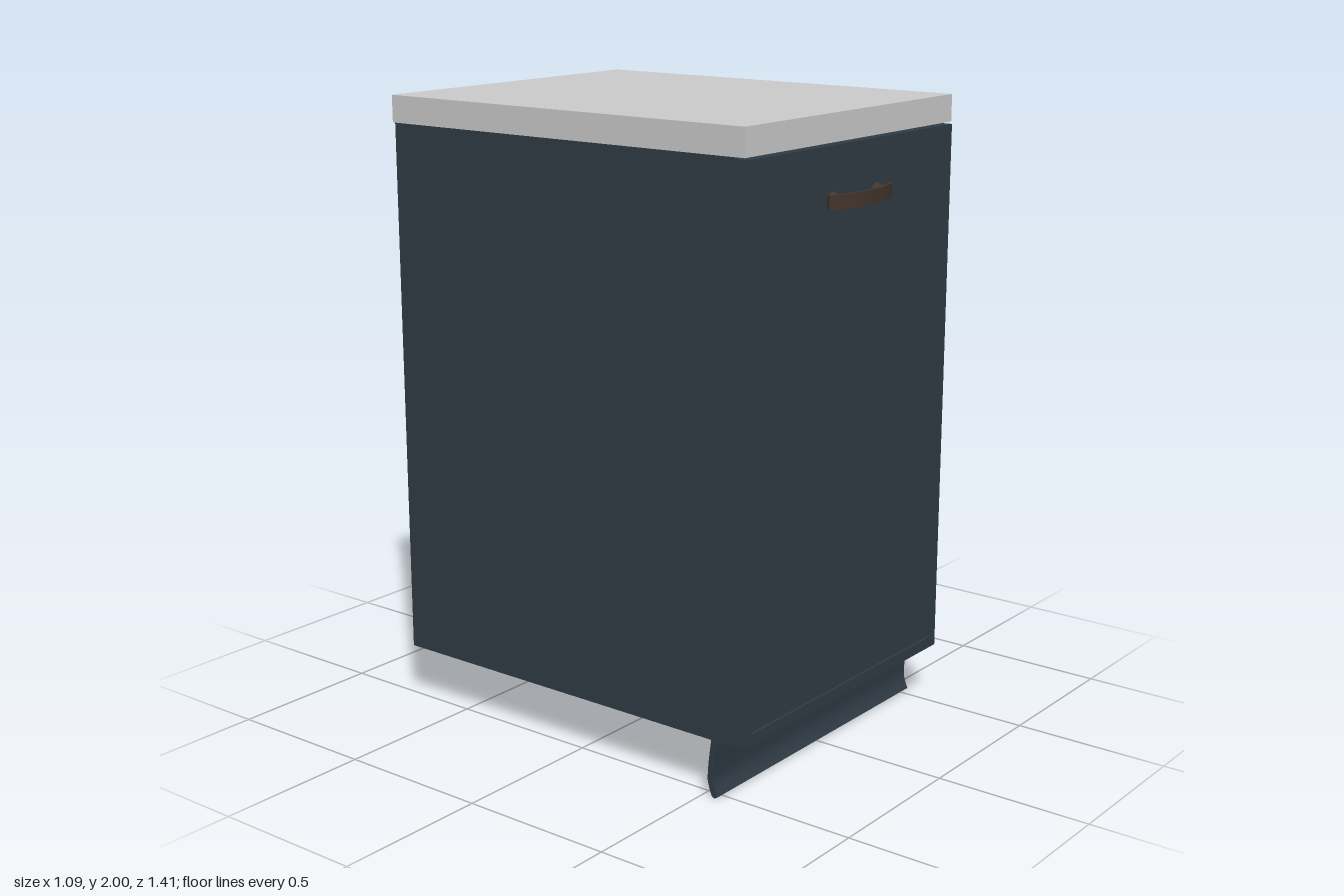
import * as THREE from 'three';

const navy = new THREE.MeshStandardMaterial({ color: 0x303b45 });
const bronze = new THREE.MeshStandardMaterial({ color: 0x44352d });
const grey = new THREE.MeshStandardMaterial({ color: 0xcccccc });

function add(parent, name, geometry, material, x = 0, y = 0, z = 0) {
  const mesh = new THREE.Mesh(geometry, material);
  mesh.name = name;
  mesh.position.set(x, y, z);
  parent.add(mesh);
  return mesh;
}

// Box given by its lower and upper corners
function box(parent, name, material, [x0, y0, z0], [x1, y1, z1]) {
  return add(parent, name, new THREE.BoxGeometry(x1 - x0, y1 - y0, z1 - z0), material,
    (x0 + x1) / 2, (y0 + y1) / 2, (z0 + z1) / 2);
}

function rectangle(PathType, w, h) {
  const p = new PathType();
  p.moveTo(-w / 2, -h / 2);
  p.lineTo(w / 2, -h / 2);
  p.lineTo(w / 2, h / 2);
  p.lineTo(-w / 2, h / 2);
  p.closePath();
  return p;
}

// Door: a raised rim around a slightly recessed panel
function makeDoor() {
  const door = new THREE.Group();
  door.name = 'door';
  const w = 1.066, h = 1.722, border = 0.036, depth = 0.05, recess = 0.008;
  const rim = rectangle(THREE.Shape, w, h);
  rim.holes.push(rectangle(THREE.Path, w - 2 * border, h - 2 * border));
  add(door, 'doorRim', new THREE.ExtrudeGeometry(rim, { depth, bevelEnabled: false }), navy);
  box(door, 'doorPanel', navy,
    [-w / 2 + border, -h / 2 + border, 0], [w / 2 - border, h / 2 - border, depth - recess]);
  door.position.set(0, 1.048, 0.604);
  return door;
}

// Bow handle on two tapered posts
function makeHandle() {
  const handle = new THREE.Group();
  handle.name = 'handle';
  const half = 0.168, sag = 0.034, thick = 0.012, height = 0.043;
  const radius = (half * half + sag * sag) / (2 * sag);
  const angle = Math.asin(half / radius);
  const arc = new THREE.Shape();
  arc.absarc(0, 0, radius, -Math.PI / 2 - angle, -Math.PI / 2 + angle, false);
  arc.absarc(0, 0, radius - thick, -Math.PI / 2 + angle, -Math.PI / 2 - angle, true);
  arc.closePath();
  const geometry = new THREE.ExtrudeGeometry(arc, { depth: height, bevelEnabled: false, curveSegments: 24 });
  geometry.rotateX(-Math.PI / 2);
  add(handle, 'grip', geometry, bronze, 0, -height / 2, 0.705 - radius);
  for (const side of [-1, 1]) {
    const post = new THREE.CylinderGeometry(0.012, 0.026, 0.036, 20).rotateX(Math.PI / 2);
    add(handle, 'handlePost', post, bronze, side * 0.115, 0, 0.666);
  }
  handle.position.y = 1.749;
  return handle;
}

// Toe kick: a thin curved profile swept across the width
function makePlinth(parent) {
  const width = 1.066;
  const front = [[0.553, 0.19], [0.547, 0.14], [0.541, 0.09], [0.54, 0.055], [0.546, 0.03], [0.556, 0.006]];
  const back = [[0.545, 0], [0.534, 0.008], [0.522, 0.045], [0.52, 0.065], [0.523, 0.11], [0.533, 0.19]];
  const shape = new THREE.Shape();
  shape.moveTo(-front[0][0], front[0][1]);
  shape.splineThru(front.slice(1).map(([z, y]) => new THREE.Vector2(-z, y)));
  shape.lineTo(-back[0][0], back[0][1]);
  shape.splineThru(back.slice(1).map(([z, y]) => new THREE.Vector2(-z, y)));
  shape.closePath();
  const geometry = new THREE.ExtrudeGeometry(shape, { depth: width, bevelEnabled: false, curveSegments: 3 });
  geometry.rotateY(Math.PI / 2);
  add(parent, 'plinth', geometry, navy, -width / 2);
}

export function createModel() {
  const model = new THREE.Group();
  model.name = 'baseCabinet';
  box(model, 'carcass', navy, [-0.533, 0.185, -0.705], [0.533, 1.915, 0.6]);
  box(model, 'countertop', grey, [-0.543, 1.915, -0.705], [0.543, 2, 0.645]);
  model.add(makeDoor(), makeHandle());
  makePlinth(model);
  return model;
}
